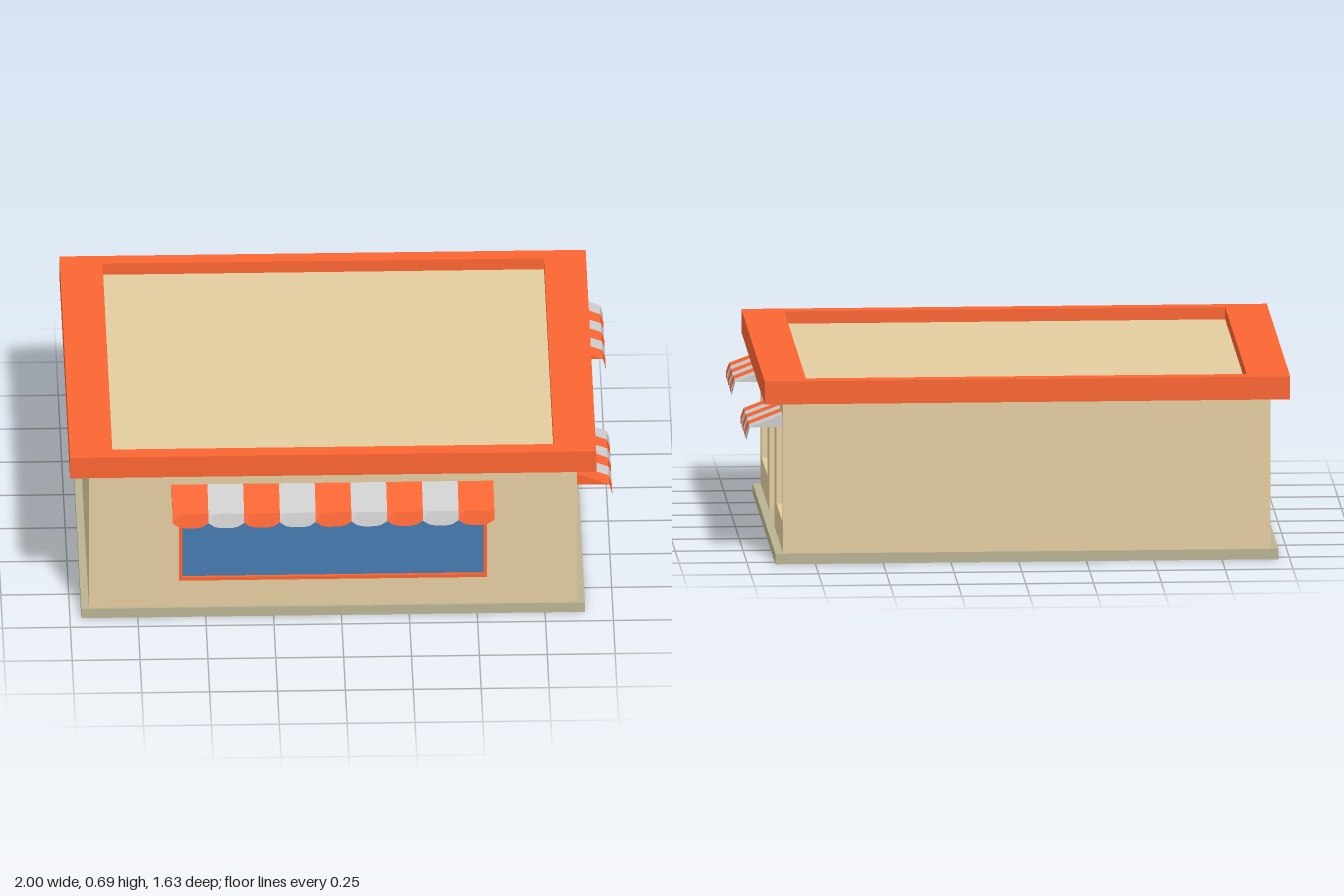
import * as THREE from 'three';

const mat = (color, side = THREE.FrontSide) => new THREE.MeshStandardMaterial({ color, side, flatShading: true });
const WALL = mat(0xe3cc9f), ORANGE = mat(0xfa6430), GLASS = mat(0x467aaf), STONE = mat(0xb9b392);
const CLOTH = [mat(0xfa6430), mat(0xcccccc)];
const HEM = [mat(0xfa6430, THREE.DoubleSide), mat(0xcccccc, THREE.DoubleSide)];

function add(parent, name, geometry, material) {
  const mesh = new THREE.Mesh(geometry, material);
  mesh.name = name;
  parent.add(mesh);
  return mesh;
}

// Box given by its min and max along each axis
function box(parent, name, material, [x0, x1], [y0, y1], [z0, z1]) {
  const g = new THREE.BoxGeometry(x1 - x0, y1 - y0, z1 - z0);
  g.translate((x0 + x1) / 2, (y0 + y1) / 2, (z0 + z1) / 2);
  return add(parent, name, g, material);
}

const points = list => list.map(p => new THREE.Vector2(...p));
const rect = (x0, x1, y0, y1) => points([[x0, y0], [x1, y0], [x1, y1], [x0, y1]]);

// Outline with holes, extruded from z0 to z1
function plate(outline, holes, z0, z1) {
  const shape = new THREE.Shape(outline);
  holes.forEach(h => shape.holes.push(new THREE.Path(h)));
  return new THREE.ExtrudeGeometry(shape, { depth: z1 - z0, bevelEnabled: false }).translate(0, 0, z0);
}

// Window whose frame ends at the plane z, with the glass set back in it
function windowUnit(parent, name, x0, x1, y0, y1, z, rim) {
  const g = new THREE.Group();
  g.name = name;
  add(g, 'windowFrame', plate(rect(x0, x1, y0, y1), [rect(x0 + rim, x1 - rim, y0 + rim, y1 - rim)], z - 0.02, z), ORANGE);
  box(g, 'windowGlass', GLASS, [x0 + rim, x1 - rim], [y0 + rim, y1 - rim], [z - 0.02, z - 0.012]);
  parent.add(g);
}

// Strip of cloth between two rows of [depth, height]; dip curves the lower edge
function cloth(x0, w, upper, lower, dip) {
  const g = new THREE.PlaneGeometry(w, 1, 6, 1);
  const p = g.attributes.position;
  for (let k = 0; k < p.count; k++) {
    const t = (k % 7) / 6, [depth, y] = k < 7 ? upper : lower;
    const drop = k < 7 ? 0 : dip * Math.min(1, 1.5 * Math.sin(Math.PI * t));
    p.setXYZ(k, x0 + t * w, y - drop, depth);
  }
  return g;
}

// Striped awning, open below: sloping cloth, end cheeks and a flared, scalloped valance
function awning(parent, name, x0, x1, count, z) {
  const g = new THREE.Group();
  g.name = name;
  g.position.z = z;
  const w = (x1 - x0) / count, top = [0, 0.553], fold = [0.133, 0.502], hem = [0.145, 0.469];
  for (let i = 0; i < count; i++) {
    add(g, 'awningStripe', cloth(x0 + i * w, w, top, fold, 0), CLOTH[i % 2]);
    add(g, 'awningValance', cloth(x0 + i * w, w, fold, hem, 0.021), HEM[i % 2]);
  }
  // triangular cheeks take the colour of the end stripes
  const cheek = new THREE.ShapeGeometry(new THREE.Shape(points([[0, fold[1]], fold, top])));
  [[x0, 0], [x1, count - 1]].forEach(([x, i]) => {
    const mesh = add(g, 'awningCheek', cheek, HEM[i % 2]);
    mesh.rotation.y = -Math.PI / 2;
    mesh.position.x = x;
  });
  parent.add(g);
}

export function createModel() {
  const model = new THREE.Group();
  model.name = 'shop';

  // Base, walls and roof
  box(model, 'base', STONE, [-0.958, 0.897], [0, 0.039], [-0.793, 0.682]);
  box(model, 'building', WALL, [-0.93, 0.818], [0.039, 0.603], [-0.781, 0.622]);
  box(model, 'roofDeck', WALL, [-0.843, 0.783], [0.602, 0.642], [-0.757, 0.643]);
  const trim = plate(rect(-1, 0.938, -0.703, 0.817), [rect(-0.843, 0.783, -0.643, 0.757)], 0.602, 0.688);
  add(model, 'roofTrim', trim.rotateX(-Math.PI / 2), ORANGE);

  // Front
  const front = new THREE.Group();
  front.name = 'front';
  const opening = [-0.598, 0.537, 0.147, 0.515];
  add(front, 'frontWall', plate(rect(-0.93, 0.818, 0.039, 0.603), [rect(...opening)], 0.622, 0.672), WALL);
  windowUnit(front, 'frontWindow', ...opening, 0.672, 0.013);
  awning(front, 'frontAwning', -0.625, 0.56, 9, 0.672);
  model.add(front);

  // Entrance side: local x runs towards the back, local z points outwards
  const side = new THREE.Group();
  side.name = 'entranceSide';
  side.rotation.y = Math.PI / 2;
  model.add(side);
  const inner = 0.818, outer = 0.868;
  const windows = [[-0.612, -0.24], [0.352, 0.723]];
  const outline = points([[-0.672, 0.039], [-0.12, 0.039], [-0.12, 0.519], [0.233, 0.519], [0.233, 0.039],
    [0.781, 0.039], [0.781, 0.603], [-0.672, 0.603]]);
  add(side, 'entranceWall', plate(outline, windows.map(([a, b]) => rect(a, b, 0.148, 0.515)), inner, outer), WALL);
  windows.forEach(([a, b]) => windowUnit(side, 'sideWindow', a, b, 0.148, 0.515, inner + 0.015, 0.006));
  awning(side, 'sideAwning', -0.62, -0.215, 6, outer - 0.013);
  awning(side, 'sideAwning', 0.325, 0.73, 6, outer - 0.013);

  // Door with two panes
  const panes = [[0.273, 0.49], [0.073, 0.208]];
  add(side, 'door', plate(rect(-0.12, 0.233, 0.039, 0.519), panes.map(([a, b]) => rect(-0.08, 0.193, a, b)), inner, inner + 0.015), ORANGE);
  panes.forEach(([a, b]) => box(side, 'doorGlass', GLASS, [-0.08, 0.193], [a, b], [inner - 0.01, inner + 0.003]));

  return model;
}
